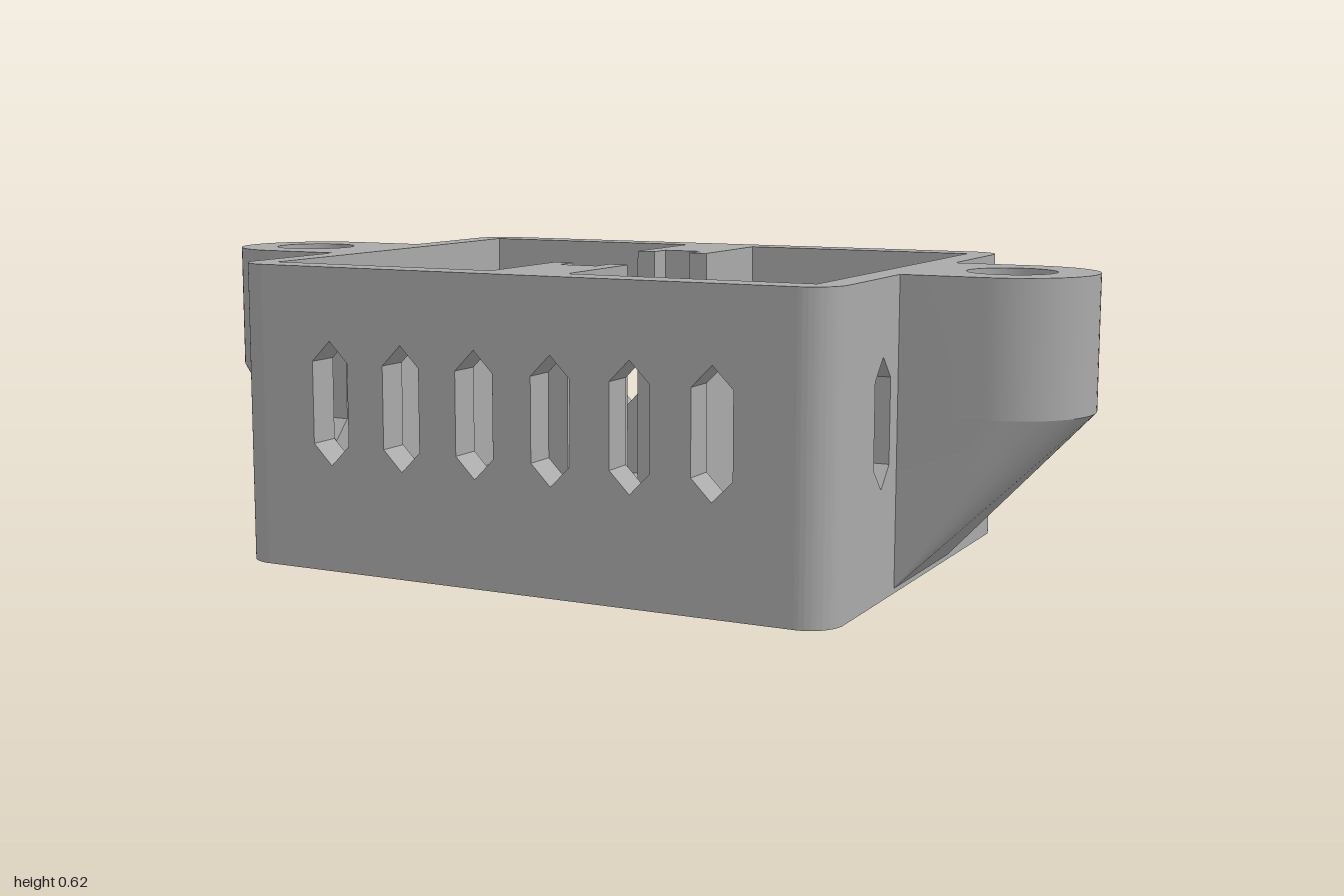
import * as THREE from 'three';
import { toCreasedNormals } from 'three/addons/utils/BufferGeometryUtils.js';
import { ConvexGeometry } from 'three/addons/geometries/ConvexGeometry.js';

const H = 0.625, FLOOR = 0.065;          // box height, floor thickness
const OX = 0.66, OZ = 0.515;             // outer half sizes
const IX = 0.6, IZ = 0.445;              // inner half sizes
const R = OZ - IZ;                       // corner radius
const EAR_X = 0.83, EAR_R = 0.17, EAR_Y = 0.355;
const SLOT = 0.0425;                     // half width of slots and windows

const polygon = (pts, Kind = THREE.Shape) => new Kind(pts.map(([x, y]) => new THREE.Vector2(x, y)));

function extrude(shape, depth) {
  const geo = new THREE.ExtrudeGeometry(shape, { depth, bevelEnabled: false, curveSegments: 20 });
  return toCreasedNormals(geo, 0.6);
}

// Extrudes a plan drawn in x and -z upward from y0 to y1
function extrudeUp(shape, y0, y1) {
  return extrude(shape, y1 - y0).rotateX(-Math.PI / 2).translate(0, y0, 0);
}

// Wall panel with pointed hexagonal windows, facing +z
function wallGeometry(halfWidth, thickness, windows) {
  const shape = polygon([[-halfWidth, 0], [halfWidth, 0], [halfWidth, H], [-halfWidth, H]]);
  for (const u of windows) {
    shape.holes.push(polygon([
      [u, 0.22], [u - SLOT, 0.263], [u - SLOT, 0.432],
      [u, 0.475], [u + SLOT, 0.432], [u + SLOT, 0.263],
    ], THREE.Path));
  }
  return extrude(shape, thickness);
}

export function createModel() {
  const model = new THREE.Group();
  const grey = new THREE.MeshStandardMaterial({ color: 0xaaaaaa });
  grey.name = 'grey plastic';

  const add = (name, geometry, parent = model) => {
    const mesh = new THREE.Mesh(geometry, grey);
    mesh.name = name;
    parent.add(mesh);
    return mesh;
  };

  const columns = [-0.425, -0.255, -0.085, 0.085, 0.255, 0.425];

  // Floor with six round-ended slots
  const floor = polygon([[-IX, -IZ], [IX, -IZ], [IX, IZ], [-IX, IZ]]);
  for (const x of columns) {
    const slot = new THREE.Path();
    slot.absarc(x, 0.255, SLOT, 0, Math.PI);
    slot.absarc(x, -0.255, SLOT, Math.PI, Math.PI * 2);
    slot.closePath();
    floor.holes.push(slot);
  }
  add('floor', extrudeUp(floor, 0, FLOOR));

  // Walls
  const longWall = wallGeometry(OX - R, R, columns).translate(0, 0, IZ);
  const shortWall = wallGeometry(IZ, OX - IX, [-0.255, 0.255]).translate(0, 0, IX);
  add('frontWall', longWall);
  add('backWall', longWall).rotation.y = Math.PI;
  add('leftWall', shortWall).rotation.y = Math.PI / 2;
  add('rightWall', shortWall).rotation.y = -Math.PI / 2;

  // Rounded outer corners
  const quarter = new THREE.Shape();
  quarter.moveTo(0, 0);
  quarter.lineTo(R, 0);
  quarter.absarc(0, 0, R, 0, Math.PI / 2);
  quarter.closePath();
  const corner = extrudeUp(quarter, 0, H);
  [[1, -1], [-1, -1], [-1, 1], [1, 1]].forEach(([sx, sz], k) => {
    const mesh = add('wallCorner', corner);
    mesh.position.set(sx * (OX - R), 0, sz * IZ);
    mesh.rotation.y = k * Math.PI / 2;
  });

  // Grooved posts that hold a board upright between the long walls
  const post = extrudeUp(polygon([
    [-0.085, -IZ], [0.085, -IZ], [0.085, -0.19], [0.043, -0.19],
    [0.043, -0.245], [-0.043, -0.245], [-0.043, -0.19], [-0.085, -0.19],
  ]), FLOOR, H);
  add('frontPost', post);
  add('backPost', post).rotation.y = Math.PI;

  // Mounting ear: a drilled upper lug
  const lug = new THREE.Shape();
  lug.moveTo(OX, -EAR_R);
  lug.lineTo(EAR_X, -EAR_R);
  lug.absarc(EAR_X, 0, EAR_R, -Math.PI / 2, Math.PI / 2);
  lug.lineTo(OX, EAR_R);
  lug.closePath();
  const hole = new THREE.Path();
  hole.absarc(EAR_X, 0, 0.088, 0, Math.PI * 2);
  lug.holes.push(hole);
  const lugGeo = extrudeUp(lug, EAR_Y, H);

  // Sloping support that tapers from the lug back to the foot of the wall
  const points = [];
  for (const s of [-1, 1]) {
    points.push(new THREE.Vector3(OX, EAR_Y, s * EAR_R), new THREE.Vector3(OX, 0.01, s * EAR_R));
  }
  for (let i = 0; i <= 40; i++) {
    const a = (i / 40 - 0.5) * Math.PI;
    points.push(new THREE.Vector3(EAR_X + EAR_R * Math.cos(a), EAR_Y, EAR_R * Math.sin(a)));
  }
  const supportGeo = toCreasedNormals(new ConvexGeometry(points), 0.5);

  for (const [name, turn] of [['leftEar', 0], ['rightEar', Math.PI]]) {
    const ear = new THREE.Group();
    ear.name = name;
    ear.rotation.y = turn;
    add('lug', lugGeo, ear);
    add('support', supportGeo, ear);
    model.add(ear);
  }

  return model;
}
